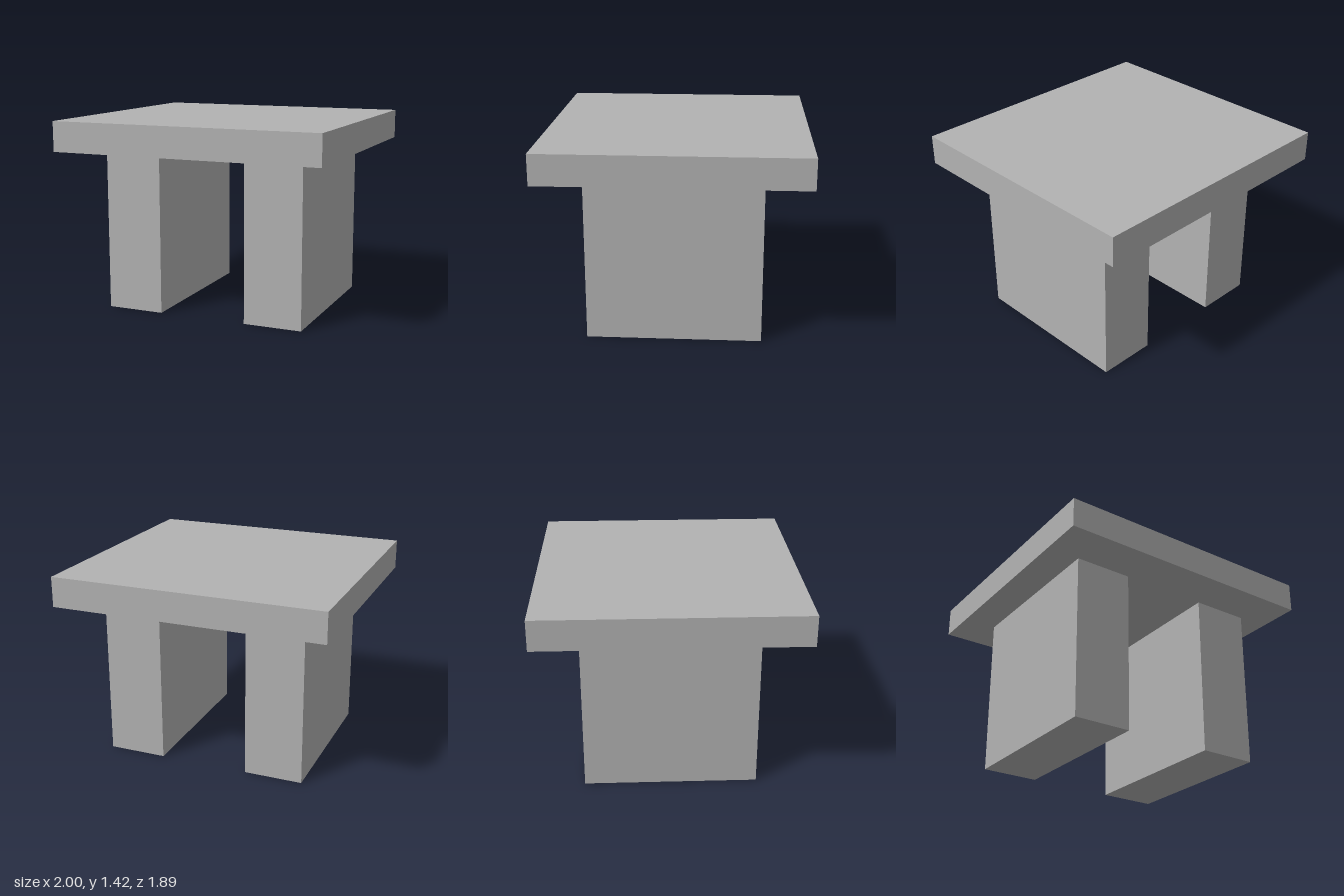
import * as THREE from 'three';

export function createModel() {
  const model = new THREE.Group();
  model.name = 'table';
  const grey = new THREE.MeshStandardMaterial({ color: 0xb2b2b2 });
  grey.name = 'plain grey';

  // Box placed by its centre x, z and its base height
  function addBox(name, [w, h, d], [x, base, z]) {
    const mesh = new THREE.Mesh(new THREE.BoxGeometry(w, h, d), grey);
    mesh.name = name;
    mesh.position.set(x, base + h / 2, z);
    model.add(mesh);
  }

  // Square slab top
  addBox('tableTop', [2, 0.22, 1.89], [0, 1.2, 0]);

  // Two slab legs, set slightly off centre
  addBox('rightLeg', [0.43, 1.2, 1.25], [-0.54, 0, 0]);
  addBox('leftLeg', [0.43, 1.2, 1.25], [0.55, 0, 0]);

  return model;
}
